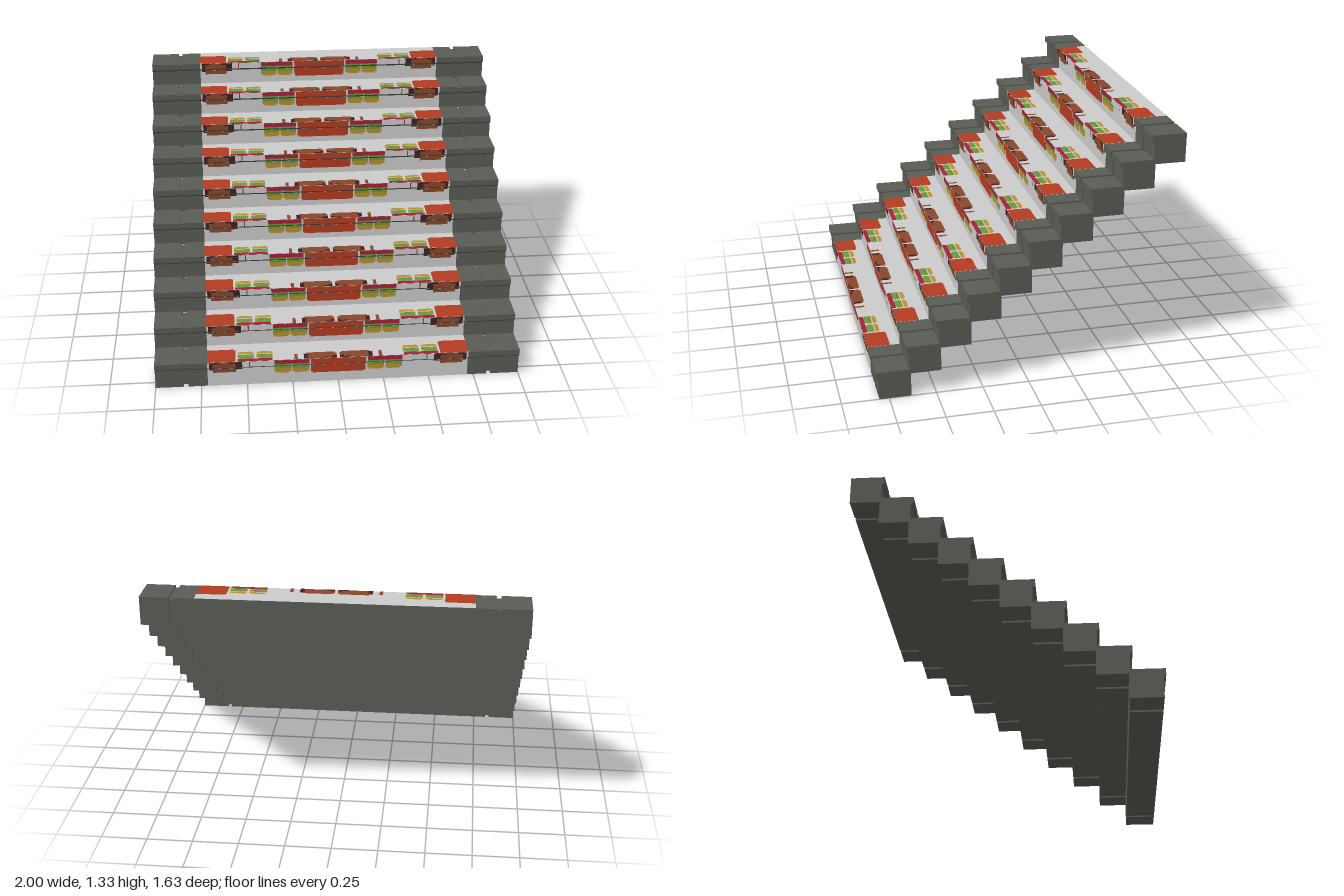
import * as THREE from 'three';

const STEPS = 10, RISE = 0.1307, RUN = 0.1607, FRONT = 0.815;
const H = 0.155, DEPTH = 0.182;           // one step block
const NOSE_Y = 0.121, NECK_Y = 0.108, NECK = 0.013; // overhanging lip

const mat = (name, color) => {
  const m = new THREE.MeshStandardMaterial({ color });
  m.name = name;
  return m;
};

export function createModel() {
  const grey = mat('dark grey', 0x595d55);
  const white = mat('light grey', 0xcccccc);
  const red = mat('red', 0xb43c22);
  const brown = mat('brown', 0x8a4629);
  const darkBrown = mat('dark brown', 0x3c2220);
  const green = mat('green', 0x6d963c);
  const crimson = mat('crimson', 0xa81f38);
  const mustard = mat('mustard', 0xb8912b);
  const slate = mat('slate', 0x5f6b70);

  const step = new THREE.Group();
  step.name = 'step';

  const add = (name, geometry, material) => {
    const mesh = new THREE.Mesh(geometry, material);
    mesh.name = name;
    step.add(mesh);
  };

  // Step cross-section (z, y) swept from x0 to x1, shrunk by inset
  const block = (name, x0, x1, inset = 0) => {
    const s = new THREE.Shape([
      [-DEPTH + inset, inset], [-NECK - inset, inset], [-NECK - inset, NECK_Y],
      [-inset, NOSE_Y], [-inset, H - inset], [-DEPTH + inset, H - inset],
    ].map(([z, y]) => new THREE.Vector2(z, y)));
    const g = new THREE.ExtrudeGeometry(s, { depth: x1 - x0, bevelEnabled: false });
    g.rotateY(-Math.PI / 2).translate(x1, 0, 0);
    add(name, g, grey);
  };

  // Flat paint on the tread: d is the distance back from the front edge
  const top = (name, material, x0, x1, d0, d1, level = 2) => {
    const g = new THREE.PlaneGeometry(x1 - x0, d1 - d0).rotateX(-Math.PI / 2);
    g.translate((x0 + x1) / 2, H + level * 0.001, -(d0 + d1) / 2);
    add(name, g, material);
  };

  // Flat paint on the riser, skipping the slanted underside of the lip
  const front = (name, material, x0, x1, y0, y1, level = 2) => {
    const piece = (a, b, z) => {
      if (b <= a) return;
      const g = new THREE.PlaneGeometry(x1 - x0, b - a);
      g.translate((x0 + x1) / 2, (a + b) / 2, z + level * 0.001);
      add(name, g, material);
    };
    piece(Math.max(y0, NOSE_Y), y1, 0);
    piece(y0, Math.min(y1, NECK_Y), -NECK);
  };

  // Same paint on both halves
  const both = (paint, name, material, x0, x1, ...rest) => {
    paint(name, material, x0, x1, ...rest);
    paint(name, material, -x1, -x0, ...rest);
  };

  // Blocks: wide middle, recessed joints and end caps
  block('stepBody', -0.822, 0.822);
  for (const s of [-1, 1]) {
    block('joint', s * 0.835 - 0.014, s * 0.835 + 0.014, 0.01);
    block('endCap', s * 0.923 - 0.077, s * 0.923 + 0.077);
  }

  // Pale panels
  top('treadPanel', white, -0.715, 0.715, 0, DEPTH, 1);
  front('riserPanel', white, -0.715, 0.715, 0, H, 1);

  // Riser: red centre block with clipped corners
  front('riserRed', red, -0.15, 0.15, 0.066, H);
  front('riserRedEdge', red, -0.143, 0.143, 0.058, 0.066);

  // Riser: striped pairs, brown ends and thin lines
  both(front, 'riserCrimson', crimson, 0.16, 0.35, 0.131, H);
  for (const x of [0.16, 0.258]) {
    both(front, 'riserGreen', green, x, x + 0.092, 0.094, 0.131);
    both(front, 'riserMustard', mustard, x, x + 0.092, 0.074, 0.094);
    both(front, 'riserMustardEdge', mustard, x + 0.01, x + 0.082, 0.066, 0.074);
  }
  both(front, 'riserDarkBrown', darkBrown, 0.525, 0.705, 0.1, H);
  both(front, 'riserBrown', brown, 0.56, 0.685, 0.084, 0.146, 3);
  both(front, 'riserBrownTop', brown, 0.59, 0.66, 0.146, H, 3);
  both(front, 'riserLine', brown, 0.482, 0.488, 0.121, H);

  // Tread: red corners
  both(top, 'treadRed', red, 0.56, 0.715, 0, 0.113);
  both(top, 'treadRedEdge', red, 0.57, 0.715, 0.113, 0.12);

  // Tread: striped pairs
  both(top, 'treadCrimson', crimson, 0.36, 0.55, 0, 0.024);
  for (const x of [0.358, 0.46]) {
    both(top, 'treadGreen', green, x, x + 0.088, 0.03, 0.064);
    both(top, 'treadGreenEdge', green, x + 0.012, x + 0.076, 0.024, 0.03);
    both(top, 'treadMustard', mustard, x, x + 0.088, 0.07, 0.085);
    both(top, 'treadMustardEdge', mustard, x + 0.01, x + 0.08, 0.085, 0.092);
  }
  both(top, 'treadFleck', slate, 0.385, 0.42, 0.05, 0.057, 3);

  // Tread: brown centre pair with dark corners, and small side bars
  both(top, 'treadBrown', brown, 0.008, 0.188, 0, 0.05);
  both(top, 'treadBrownEdge', brown, 0.018, 0.172, 0.05, 0.06);
  both(top, 'treadDarkOuter', darkBrown, 0.165, 0.188, 0, 0.045, 3);
  both(top, 'treadDarkInner', darkBrown, 0.008, 0.03, 0, 0.022, 3);
  both(top, 'treadDarkFront', darkBrown, 0.03, 0.07, 0, 0.01, 3);
  both(top, 'treadBar', brown, 0.222, 0.24, 0, 0.052);

  // Staircase
  const model = new THREE.Group();
  model.name = 'staircase';
  for (let i = 0; i < STEPS; i++) {
    const s = step.clone();
    s.position.set(0, i * RISE, FRONT - i * RUN);
    model.add(s);
  }
  return model;
}
